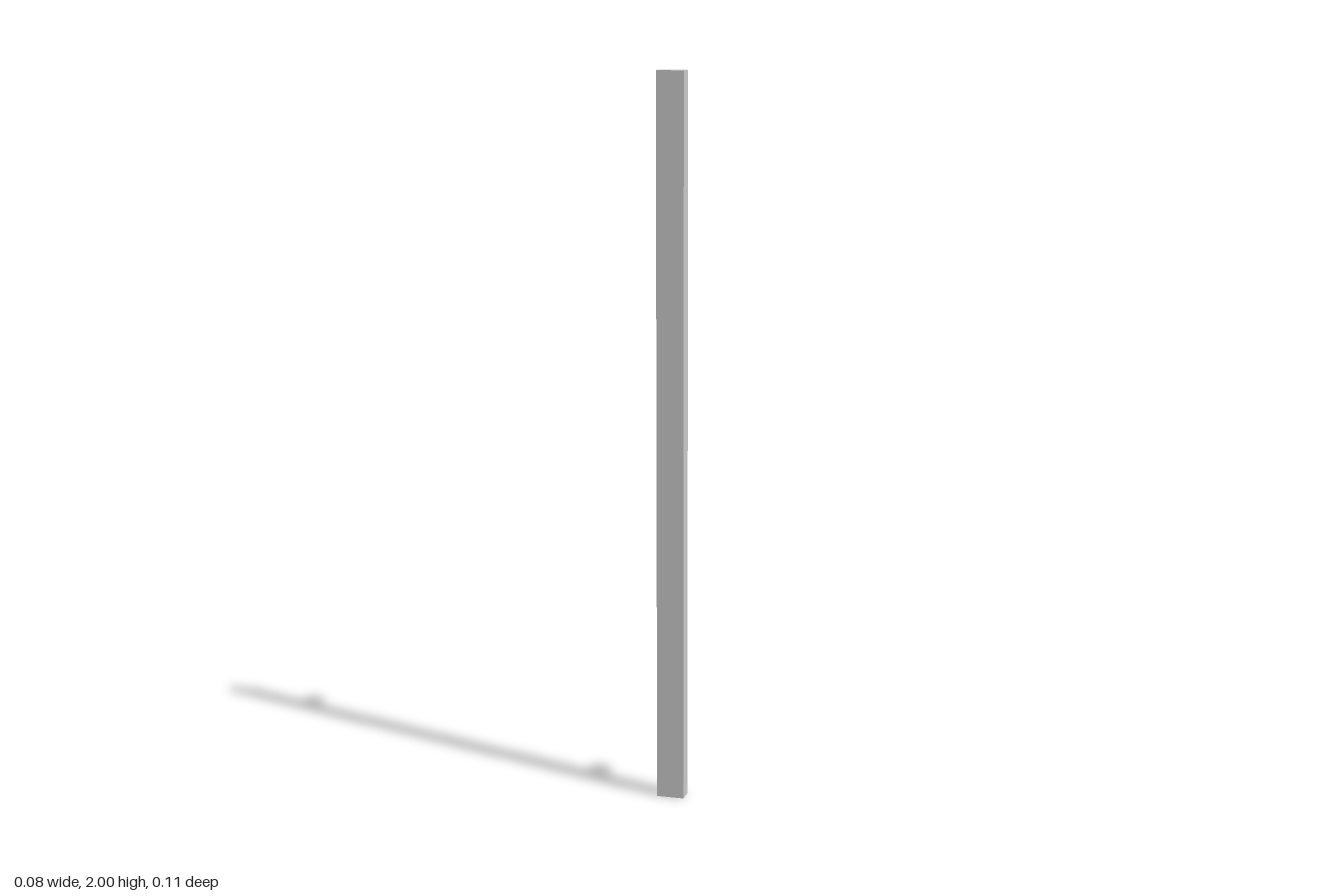
import * as THREE from 'three';

const HALF_W = 0.038, Z_FRONT = 0.053, Z_BACK = 0.011, Z_END = -0.053;

export function createModel() {
  const group = new THREE.Group();
  const material = new THREE.MeshStandardMaterial({ color: 0xcccccc, flatShading: true });

  const add = (name, geometry) => {
    const mesh = new THREE.Mesh(geometry, material);
    mesh.name = name;
    group.add(mesh);
    return mesh;
  };

  // Flat bar in three lengths, meeting at slanted joints: [y at -x, y at +x]
  const cuts = [[0, 0], [0.225, 0.278], [1.73, 1.782], [2, 2]];
  ['lowerBar', 'middleBar', 'upperBar'].forEach((name, i) => {
    const [a, b] = [cuts[i], cuts[i + 1]];
    const shape = new THREE.Shape([
      new THREE.Vector2(-HALF_W, a[0]),
      new THREE.Vector2(HALF_W, a[1]),
      new THREE.Vector2(HALF_W, b[1]),
      new THREE.Vector2(-HALF_W, b[0]),
    ]);
    const geometry = new THREE.ExtrudeGeometry(shape, { depth: Z_FRONT - Z_BACK, bevelEnabled: false });
    add(name, geometry.translate(0, 0, Z_BACK));
  });

  // Mounting blocks standing off the back
  for (const [name, y] of [['lowerMount', 0.328], ['upperMount', 1.665]]) {
    const mount = add(name, new THREE.BoxGeometry(0.028, 0.046, Z_BACK - Z_END));
    mount.position.set(0.004, y, (Z_BACK + Z_END) / 2);
  }

  return group;
}
